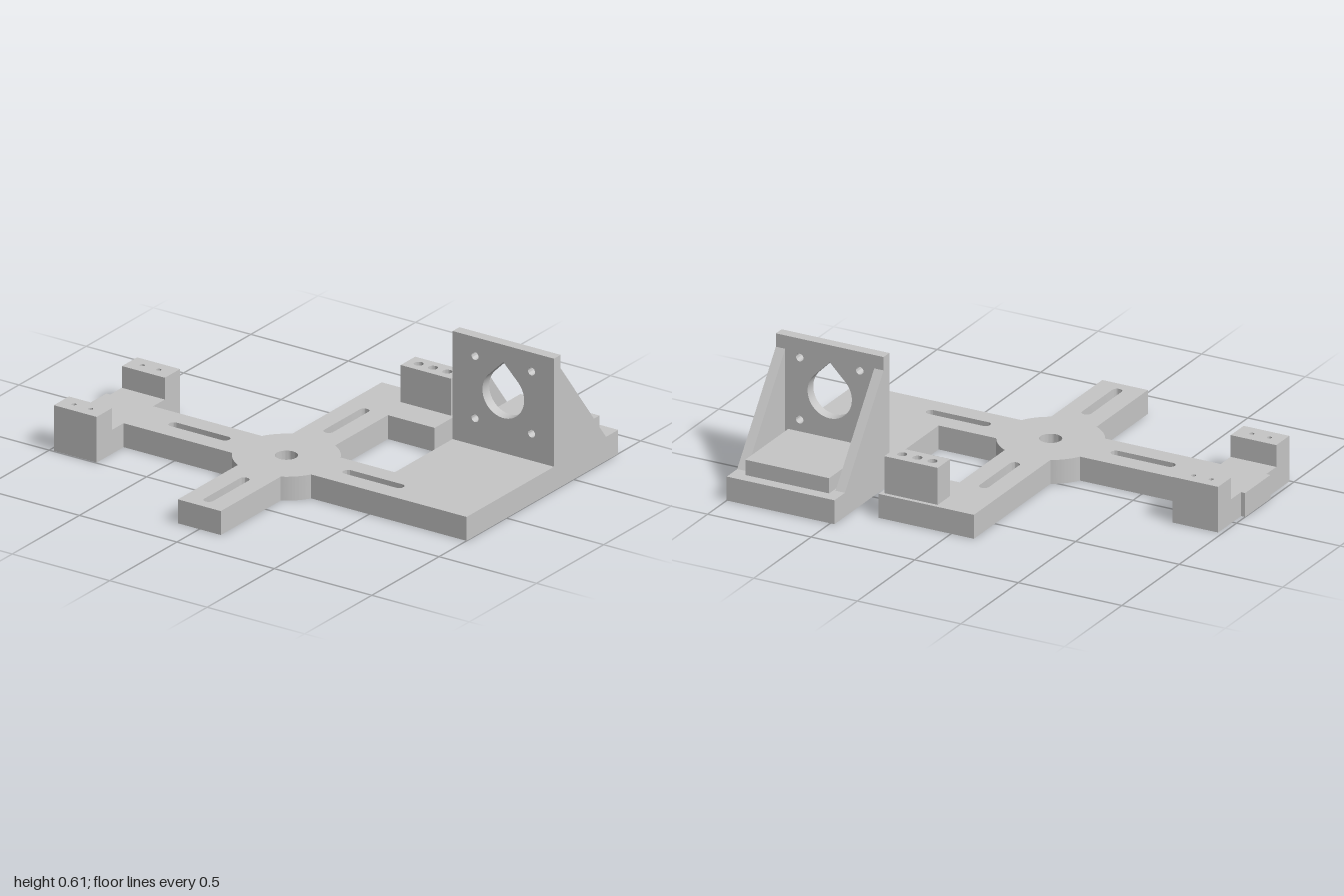
import * as THREE from 'three';
import { toCreasedNormals } from 'three/addons/utils/BufferGeometryUtils.js';

const CZ = 0.185;     // z of the hub centre
const TOP = 0.11;     // thickness of the base
const LEDGE = 0.06;   // height of the recesses under the base

const circle = (x, y, r) => new THREE.Path().absarc(x, y, r, 0, Math.PI * 2, true);

const rect = (x0, x1, y0, y1) => new THREE.Shape([
  new THREE.Vector2(x0, y0), new THREE.Vector2(x1, y0),
  new THREE.Vector2(x1, y1), new THREE.Vector2(x0, y1),
]);

// Rounded slot between two distances from the hub, along one of four arms
function slot(arm, r) {
  const a = arm * Math.PI / 2, c = Math.cos(a), s = Math.sin(a);
  const near = 0.315, far = 0.5775;
  const p = new THREE.Path();
  p.absarc(far * c, CZ + far * s, r, a - Math.PI / 2, a + Math.PI / 2, false);
  p.absarc(near * c, CZ + near * s, r, a + Math.PI / 2, a + Math.PI * 1.5, false);
  p.closePath();
  return p;
}

// Extrude a plan drawn in (x, z) between two heights
function planGeometry(shape, y0, y1) {
  const g = new THREE.ExtrudeGeometry(shape, { depth: y1 - y0, bevelEnabled: false, curveSegments: 20 });
  g.rotateX(Math.PI / 2).translate(0, y1, 0);
  return toCreasedNormals(g, 0.6);
}

// Cross with round hub, clamp bar, sensor tab and motor platform
function baseOutline() {
  const R = 0.23, a = Math.asin(0.11 / R), q = Math.PI / 2;
  const z0 = CZ - 0.11, z1 = CZ + 0.11;
  const s = new THREE.Shape();
  const line = (...pts) => pts.forEach(([x, z]) => s.lineTo(x, z));
  const hubArc = (i) => s.absarc(0, CZ, R, i * q + a, (i + 1) * q - a, false);
  s.moveTo(1, -0.833);
  line([1, z1]);
  hubArc(0);
  line([0.11, 0.833], [-0.11, 0.833]);
  hubArc(1);
  line([-0.76, z1], [-0.76, 0.495], [-0.98, 0.495], [-0.98, z1], [-1, z1],
    [-1, z0], [-0.98, z0], [-0.98, -0.125], [-0.76, -0.125], [-0.76, z0]);
  hubArc(2);
  line([-0.11, -0.683], [0.35, -0.683], [0.35, -0.41], [0.11, -0.41]);
  hubArc(3);
  line([0.48, z0], [0.48, -0.833]);
  s.closePath();
  return s;
}

export function createModel() {
  const model = new THREE.Group();
  model.name = 'motorBracket';
  const grey = new THREE.MeshStandardMaterial({ color: 0xc6c6c6 });
  grey.name = 'grey';
  const add = (name, geometry) => {
    const m = new THREE.Mesh(geometry, grey);
    m.name = name;
    model.add(m);
  };

  // Base: narrow slots above, wider recesses and a hexagonal nut pocket below
  const upper = baseOutline(), lower = baseOutline();
  for (let i = 0; i < 4; i++) {
    upper.holes.push(slot(i, 0.0225));
    lower.holes.push(slot(i, 0.04));
  }
  upper.holes.push(circle(0, CZ, 0.049));
  const hex = [];
  for (let i = 0; i < 6; i++) {
    const t = i * Math.PI / 3;
    hex.push(new THREE.Vector2(0.09 * Math.cos(t), CZ + 0.09 * Math.sin(t)));
  }
  lower.holes.push(new THREE.Path(hex));
  add('baseUpper', planGeometry(upper, LEDGE, TOP));
  add('baseLower', planGeometry(lower, 0, LEDGE));

  // Clamp blocks, each with two small holes
  [[-0.125, -0.012], [0.382, 0.495]].forEach(([z0, z1], i) => {
    const s = rect(-0.98, -0.76, z0, z1);
    for (const x of [-0.915, -0.83]) s.holes.push(circle(x, (z0 + z1) / 2, 0.011));
    add(i ? 'frontClampBlock' : 'backClampBlock', planGeometry(s, TOP, 0.21));
  });

  // Terminal block with three holes
  const terminal = rect(0.075, 0.333, -0.664, -0.556);
  for (const x of [0.13, 0.203, 0.277]) terminal.holes.push(circle(x, -0.61, 0.021));
  add('terminalBlock', planGeometry(terminal, TOP, 0.28));

  // Upright motor plate with a teardrop opening and four screw holes
  const plate = rect(0.48, 1, TOP, 0.607);
  const mx = 0.74, my = 0.377, r = 0.107;
  const drop = new THREE.Path();
  drop.absarc(mx, my, r, Math.PI * 0.75, Math.PI * 2.25, false);
  drop.lineTo(mx, my + r * Math.SQRT2);
  drop.closePath();
  plate.holes.push(drop);
  for (const x of [-1, 1]) for (const y of [-1, 1])
    plate.holes.push(circle(mx + x * 0.145, my + y * 0.143, 0.018));
  const plateGeo = new THREE.ExtrudeGeometry(plate, { depth: 0.05, bevelEnabled: false, curveSegments: 20 });
  plateGeo.translate(0, 0, -0.405);
  add('motorPlate', toCreasedNormals(plateGeo, 0.6));

  // Triangular side gussets, drawn in (-z, y)
  const tri = new THREE.Shape([
    new THREE.Vector2(0.4, TOP), new THREE.Vector2(0.742, TOP), new THREE.Vector2(0.4, 0.552),
  ]);
  [0.48, 0.955].forEach((x, i) => {
    const g = new THREE.ExtrudeGeometry(tri, { depth: 0.045, bevelEnabled: false });
    g.rotateY(Math.PI / 2).translate(x, 0, 0);
    add(i ? 'leftGusset' : 'rightGusset', g);
  });

  // Raised motor rest between the gussets
  add('motorRest', new THREE.BoxGeometry(0.405, 0.07, 0.375).translate(0.7375, 0.145, -0.5925));

  return model;
}
